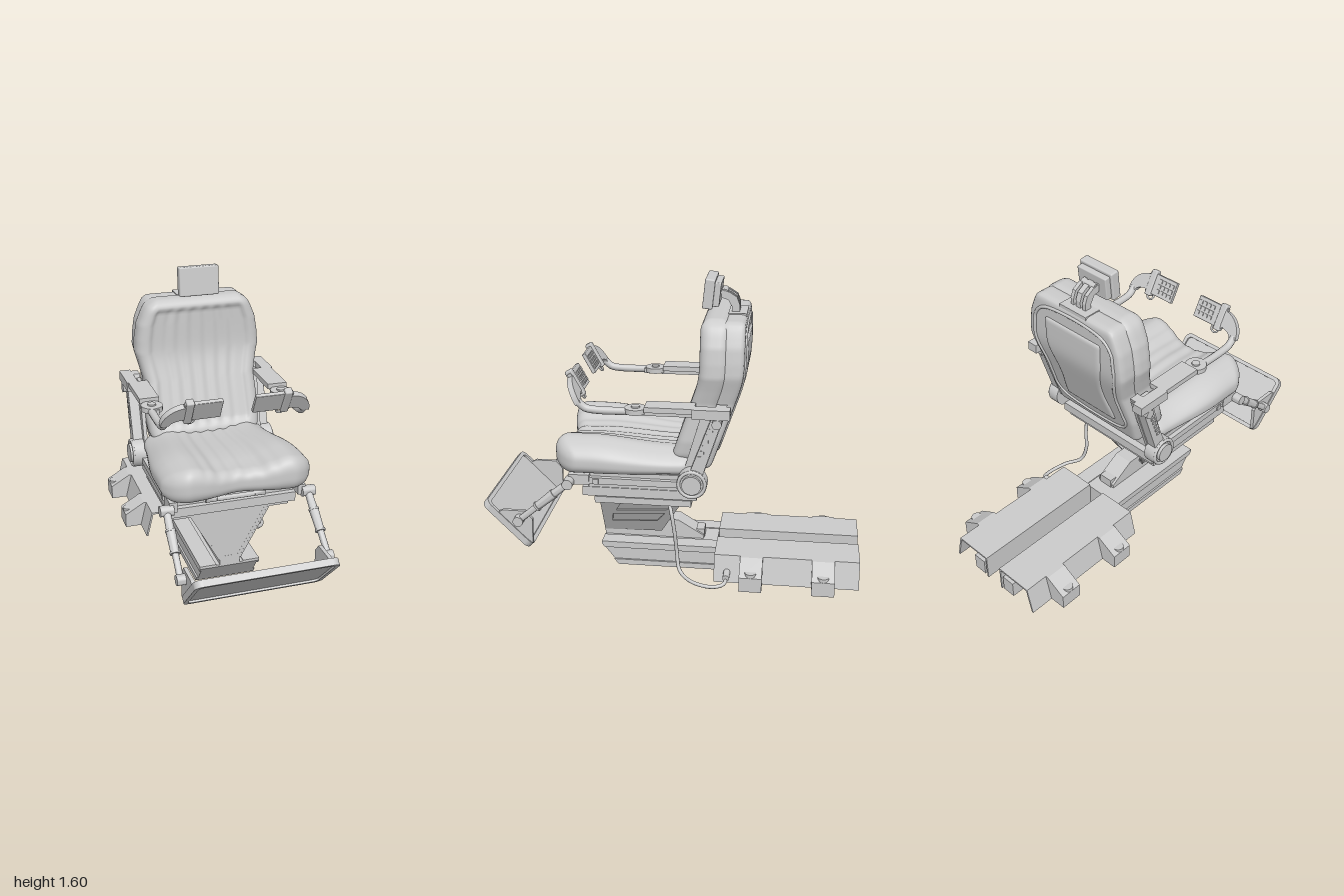
import * as THREE from 'three';
import { mergeVertices, toCreasedNormals } from 'three/addons/utils/BufferGeometryUtils.js';
import { RoundedBoxGeometry } from 'three/addons/geometries/RoundedBoxGeometry.js';

const mat = new THREE.MeshStandardMaterial({ color: 0xcccccc, side: THREE.DoubleSide });
const V = (x, y, z) => new THREE.Vector3(x, y, z);
const { smoothstep, clamp, lerp } = THREE.MathUtils;

export function createModel() {
  const root = new THREE.Group();
  const add = (name, geo, x = 0, y = 0, z = 0, parent = root) => {
    const m = new THREE.Mesh(geo, mat);
    m.name = name;
    m.position.set(x, y, z);
    parent.add(m);
    return m;
  };
  // box given by its limits on each axis
  const box = (name, x0, x1, y0, y1, z0, z1) =>
    add(name, new THREE.BoxGeometry(Math.abs(x1 - x0), y1 - y0, z1 - z0), (x0 + x1) / 2, (y0 + y1) / 2, (z0 + z1) / 2);
  const rod = (name, a, b, r1, r2 = r1) => {
    const d = b.clone().sub(a), c = a.clone().add(b).multiplyScalar(0.5);
    const m = add(name, toCreasedNormals(new THREE.CylinderGeometry(r2, r1, d.length(), 24), 0.6), c.x, c.y, c.z);
    m.quaternion.setFromUnitVectors(V(0, 1, 0), d.normalize());
  };
  const tube = (name, pts, r, closed = false) =>
    add(name, new THREE.TubeGeometry(new THREE.CatmullRomCurve3(pts, closed), closed ? 120 : 48, r, 10, closed));
  const poly = pts => new THREE.Shape(pts.map(p => new THREE.Vector2(...p)));
  const slab = (shape, depth) =>
    new THREE.ExtrudeGeometry(shape, { depth, bevelEnabled: false, curveSegments: 10 }).translate(0, 0, -depth / 2);
  // profile drawn as (z, y), extruded across x
  const sideSlab = (pts, depth, holes = []) => {
    const s = poly(pts);
    holes.forEach(h => s.holes.push(poly(h)));
    return slab(s, depth).rotateY(-Math.PI / 2);
  };
  // finely divided rounded block whose vertices are then moved by a rule
  const pad = (w, h, d, r, n, rule) => {
    const g = new THREE.BoxGeometry(w, h, d, ...n), p = g.attributes.position;
    const v = V(), c = V();
    const lim = V(w / 2 - r, h / 2 - r, d / 2 - r);
    for (let i = 0; i < p.count; i++) {
      v.fromBufferAttribute(p, i);
      c.copy(v).clamp(lim.clone().negate(), lim);
      v.sub(c).normalize().multiplyScalar(r).add(c);
      rule(v);
      p.setXYZ(i, v.x, v.y, v.z);
    }
    g.deleteAttribute('uv');
    g.deleteAttribute('normal');
    const out = mergeVertices(g);
    out.computeVertexNormals();
    return out;
  };
  const ribs = x => 0.004 * Math.cos(x * 2 * Math.PI / 0.075) * (1 - smoothstep(Math.abs(x), 0.17, 0.23));

  // floor base with a sloped nose; side rails and lugs are open underneath
  for (const s of [1, -1]) {
    box('innerRail', s * 0.075, s * 0.15, 0.01, 0.1, -1, -0.2);
    add('baseUpperFlange', sideSlab([[-0.3, 0.1], [0.385, 0.1], [0.4, 0.12], [0.4, 0.135], [-0.3, 0.135]], 0.09), s * 0.12);
    add('baseWeb', sideSlab([[-0.3, 0.03], [0.332, 0.03], [0.385, 0.1], [-0.3, 0.1]], 0.08), s * 0.115);
    add('baseLowerFlange', sideSlab([[-0.3, 0], [0.31, 0], [0.332, 0.03], [-0.3, 0.03]], 0.09), s * 0.12);
    const block = slab(poly([[0.05, 0], [0.06, 0], [0.06, 0.135], [0.257, 0.135], [0.29, 0], [0.3, 0], [0.265, 0.145], [0.05, 0.145]]), 0.77);
    add('sideRail', block.scale(s, 1, 1), 0, 0, -0.615);
    for (const z of [-0.81, -0.43]) {
      const cap = slab(poly([[0.26, 0.135], [0.28, 0.135], [0.38, 0.075], [0.38, 0], [0.39, 0], [0.39, 0.08], [0.28, 0.145], [0.26, 0.145]]), 0.12);
      add('mountingLug', cap.scale(s, 1, 1), 0, 0, z);
      for (const e of [-0.056, 0.056]) {
        const wall = slab(poly([[0.28, 0], [0.39, 0], [0.39, 0.08], [0.28, 0.145], [0.26, 0.145]]), 0.008);
        add('lugWall', wall.scale(s, 1, 1), 0, 0, z + e);
      }
      rod('lugBolt', V(s * 0.36, 0.02, z), V(s * 0.36, 0.1, z), 0.03);
    }
  }
  add('baseCenter', sideSlab([[-0.23, 0], [0.31, 0], [0.4, 0.12], [0.4, 0.13], [-0.23, 0.13]], 0.16));
  add('pedestalFoot', sideSlab([[0.4, 0.13], [0.4, 0.18], [0.05, 0.235], [-0.01, 0.235], [-0.15, 0.15], [-0.15, 0.13]], 0.11));
  box('footLatch', -0.04, 0.04, 0.13, 0.18, -0.155, -0.11);

  // tapered pedestal: leaning side frames with recessed panels, and a front plate
  const halfW = y => lerp(0.055, 0.21, clamp((y - 0.16) / 0.28, 0, 1));
  const outline = [[0.4, 0.16], [0.08, 0.17], [-0.065, 0.44], [0.4, 0.44]];
  const windows = [[[0.35, 0.23], [0.1, 0.25], [0.05, 0.315], [0.34, 0.29]], [[0.32, 0.32], [0.03, 0.345], [0.0, 0.425], [0.26, 0.425]]];
  for (const s of [1, -1]) for (const [name, inset, holes] of [['pedestalSide', 0, windows], ['pedestalPanel', 0.018, []]]) {
    const g = sideSlab(outline, 0.012, holes);
    const p = g.attributes.position;
    for (let i = 0; i < p.count; i++) p.setX(i, p.getX(i) + s * (halfW(p.getY(i)) - inset));
    g.computeVertexNormals();
    add(name, g);
  }
  add('pedestalFront', slab(poly([[-0.055, 0.16], [0.055, 0.16], [0.21, 0.44], [-0.21, 0.44]]), 0.015), 0, 0, 0.392);

  // suspension layers beneath the cushion
  box('suspensionBase', -0.32, 0.32, 0.44, 0.475, -0.11, 0.4);
  box('suspensionCore', -0.29, 0.29, 0.47, 0.55, -0.1, 0.38);
  box('suspensionTray', -0.335, 0.335, 0.485, 0.535, -0.14, 0.46);
  box('seatFrame', -0.33, 0.33, 0.535, 0.62, -0.1, 0.43);
  for (const s of [1, -1]) {
    box('slideRail', s * 0.3, s * 0.355, 0.56, 0.595, -0.1, 0.46);
    box('railStop', s * 0.35, s * 0.362, 0.562, 0.59, 0.37, 0.4);
    rod('handleEnd', V(s * 0.155, 0.578, 0.47), V(s * 0.1, 0.572, 0.48), 0.024, 0.013);
    rod('handleArm', V(s * 0.14, 0.578, 0.4), V(s * 0.14, 0.575, 0.48), 0.014);
  }
  rod('slideHandle', V(-0.1, 0.572, 0.48), V(0.1, 0.572, 0.48), 0.013);

  // seat cushion, dished and ribbed, with rounded shoulders
  add('seatCushion', pad(0.77, 0.15, 0.72, 0.06, [70, 12, 44], v => {
    const t = clamp((v.y + 0.075) / 0.15, 0, 1), ax = Math.abs(v.x), f = smoothstep(v.z, 0.1, 0.36);
    const rise = -0.02 + 0.05 * smoothstep(v.z, -0.28, 0.18);
    const dip = lerp(0.02, 0.055, smoothstep(v.z, -0.3, 0.3)) * (1 - smoothstep(ax, 0.06, 0.26));
    const shoulder = 0.045 * smoothstep(ax, 0.25, 0.4);
    v.y += t * (rise - dip - shoulder) + t * t * ribs(v.x);
    v.z -= f * (0.05 * Math.exp(-((v.x / 0.15) ** 2)) + 0.1 * smoothstep(ax, 0.26, 0.44));
    v.x *= (0.87 + 0.14 * smoothstep(v.z, -0.36, 0.1)) * (1 + 0.012 * Math.sin(t * Math.PI));
  }), 0, 0.69, 0.25);

  // backrest: upright above, leaning below the bend
  const bend = y => 0.34 * 0.03 * Math.log(1 + Math.exp((1.13 - y) / 0.03));
  const table = [[0.6, 0.29], [0.8, 0.315], [1.0, 0.307], [1.08, 0.325], [1.15, 0.343], [1.22, 0.338], [1.3, 0.325], [1.36, 0.3], [1.4, 0.28], [1.45, 0.24]];
  const backW = y => {
    const i = clamp(table.findIndex(p => p[0] > y), 1, table.length - 1), [a, b] = [table[i - 1], table[i]];
    return lerp(a[1], b[1], clamp((y - a[0]) / (b[0] - a[0]), 0, 1));
  };
  add('backCushion', pad(0.68, 0.75, 0.15, 0.055, [64, 64, 10], v => {
    const y = v.y + 1.055, front = smoothstep(v.z, 0.03, 0.075);
    const inside = (1 - smoothstep(Math.abs(v.x), 0.255, 0.28)) * smoothstep(y, 0.74, 0.78) * (1 - smoothstep(y, 1.36, 1.39));
    v.z += front * inside * (ribs(v.x) - 0.014) + bend(y);
    v.x *= backW(y) / 0.34;
  }), 0, 1.055, -0.22);
  add('backShell', pad(0.68, 0.78, 0.12, 0.03, [40, 50, 6], v => {
    v.z += bend(v.y + 1.03);
    v.x *= 0.96 * backW(v.y + 1.03) / 0.34;
  }), 0, 1.03, -0.31);
  add('backPanel', pad(0.36, 0.54, 0.03, 0.013, [24, 44, 4], v => {
    const y = v.y + 1.04;
    v.z += bend(y);
    v.x *= 0.85 + 0.2 * smoothstep(y, 0.98, 1.2) + 0.1 * (1 - smoothstep(y, 0.8, 0.95));
  }), 0, 1.04, -0.367);
  const rim = [];
  for (const s of [1, -1]) for (let i = 0; i <= 10; i++) {
    const y = s > 0 ? lerp(0.73, 1.36, i / 10) : lerp(1.36, 0.73, i / 10);
    rim.push(V(s * (backW(y) * 0.96 - (i % 10 ? 0.05 : 0.09)), y, -0.37 + bend(y)));
  }
  tube('backPiping', rim, 0.009, true);

  // headrest on a curved bracket
  const head = add('headrestPad', new RoundedBoxGeometry(0.215, 0.155, 0.052, 3, 0.008), 0, 1.523, -0.17);
  const headBack = add('headrestShell', new RoundedBoxGeometry(0.19, 0.125, 0.035, 2, 0.006), 0, 1.518, -0.21);
  head.rotation.x = headBack.rotation.x = -0.1;
  rod('headrestPivot', V(-0.045, 1.52, -0.245), V(0.045, 1.52, -0.245), 0.018);
  const strap = [[-0.23, 1.535], [-0.27, 1.525], [-0.31, 1.5], [-0.325, 1.46], [-0.325, 1.36], [-0.29, 1.36], [-0.285, 1.45], [-0.265, 1.485], [-0.23, 1.495]];
  for (const s of [1, -1]) add('headrestStrap', sideSlab(strap, 0.02), s * 0.04);
  add('headrestStem', sideSlab(strap, 0.03));
  box('headrestMount', -0.09, 0.09, 1.37, 1.425, -0.365, -0.27);

  for (const s of [1, -1]) {
    // side bracket following the lean of the back, with its hub
    add('armBracket', sideSlab([[-0.29, 0.99], [-0.17, 0.99], [-0.075, 0.66], [-0.17, 0.62]], 0.02), s * 0.325);
    add('armBracketRail', sideSlab([[-0.29, 1.01], [-0.235, 1.01], [-0.1, 0.64], [-0.165, 0.62]], 0.075), s * 0.35);
    for (let i = 0; i < 6; i++) box('railNotch', s * 0.385, s * 0.392, 0.74 + i * 0.03, 0.755 + i * 0.03, -0.17 - i * 0.011, -0.15 - i * 0.011);
    rod('armPivot', V(s * 0.36, 0.935, -0.245), V(s * 0.41, 0.935, -0.245), 0.025);
    rod('reclineHub', V(s * 0.33, 0.6, -0.12), V(s * 0.395, 0.6, -0.12), 0.078);
    rod('reclineCap', V(s * 0.39, 0.6, -0.12), V(s * 0.412, 0.6, -0.12), 0.05);
    const ring = add('hubRing', new THREE.TorusGeometry(0.068, 0.009, 8, 32), s * 0.395, 0.6, -0.12);
    ring.rotation.y = Math.PI / 2;

    // armrest
    box('armHinge', s * 0.35, s * 0.41, 0.96, 1.01, -0.31, -0.12);
    box('armPad', s * 0.298, s * 0.402, 0.982, 1.01, -0.13, 0.12);
    box('armPlate', s * 0.325, s * 0.375, 0.957, 0.985, -0.2, 0.23);
    rod('armDisc', V(s * 0.35, 0.965, 0.17), V(s * 0.35, 0.992, 0.17), 0.056);
    rod('armDiscKnob', V(s * 0.35, 0.985, 0.17), V(s * 0.35, 1.0, 0.17), 0.022);
    tube('armTube', [V(s * 0.362, 0.973, 0.2), V(s * 0.362, 0.973, 0.37), V(s * 0.362, 0.982, 0.425), V(s * 0.362, 1.015, 0.465)], 0.02);
    const control = new THREE.Group();
    control.name = 'handControl';
    control.position.set(s * 0.18, 1.075, 0.497);
    control.rotation.x = 0.5;
    root.add(control);
    // flat arm curving inward to the control
    const band = new THREE.Shape();
    band.moveTo(0.06, 0.045);
    band.absellipse(0.08, -0.08, 0.125, 0.125, Math.PI / 2, 0, true);
    band.absellipse(0.08, -0.08, 0.08, 0.035, 0, Math.PI / 2, false);
    band.lineTo(0.06, -0.045);
    add('controlArm', slab(band, 0.03).scale(s, 1, 1), 0, 0, 0, control);
    add('controlPlate', new RoundedBoxGeometry(0.195, 0.12, 0.022, 2, 0.004), 0, 0, 0, control);
    add('controlClamp', new RoundedBoxGeometry(0.04, 0.15, 0.04, 2, 0.008), s * 0.07, 0, 0, control);
    add('controlTrigger', new THREE.TorusGeometry(0.022, 0.006, 8, 20), s * 0.055, -0.07, 0, control);
    for (let i = 0; i < 12; i++)
      add('controlKey', new THREE.BoxGeometry(0.02, 0.02, 0.008), s * (-0.075 + (i % 4) * 0.028), -0.03 + Math.floor(i / 4) * 0.03, -0.013, control);

    // telescopic footrest leg
    const a = V(s * 0.375, 0.57, 0.525), b = V(s * 0.382, 0.34, 0.8);
    const at = t => a.clone().lerp(b, t);
    rod('legPivot', V(s * 0.34, 0.57, 0.525), V(s * 0.41, 0.57, 0.525), 0.028);
    box('legMount', s * 0.32, s * 0.36, 0.555, 0.61, 0.42, 0.53);
    rod('legUpper', at(0), at(0.35), 0.019, 0.022);
    rod('legSleeve', at(0.3), at(0.62), 0.025, 0.022);
    rod('legLower', at(0.6), at(1), 0.017);
    for (const t of [0.3, 0.62]) rod('legCollar', at(t - 0.015), at(t + 0.015), 0.027);
    rod('footPivot', V(s * 0.34, 0.34, 0.8), V(s * 0.405, 0.34, 0.8), 0.027);
    add('footGusset', sideSlab([[0.92, 0.37], [0.89, 0.385], [0.77, 0.385], [0.732, 0.34], [0.735, 0.2], [0.76, 0.22]], 0.02), s * 0.35);
  }

  // tilted footrest with a raised rim
  const foot = new THREE.Group();
  foot.name = 'footrest';
  foot.position.set(0, 0.301, 0.867);
  foot.rotation.x = 0.78;
  root.add(foot);
  const round = (w, h, r, S = THREE.Shape) => {
    const s = new S();
    [[w - r, r - h, -1], [w - r, h - r, 0], [r - w, h - r, 1], [r - w, r - h, 2]].forEach(([x, y, q]) =>
      s.absarc(x, y, r, q * Math.PI / 2, (q + 1) * Math.PI / 2, false));
    return s;
  };
  const rimShape = round(0.365, 0.172, 0.04);
  rimShape.holes.push(round(0.343, 0.15, 0.025, THREE.Path));
  add('footrestRim', slab(rimShape, 0.036), 0, 0, 0, foot);
  add('footrestPlate', slab(round(0.35, 0.155, 0.03), 0.014), 0, 0, 0, foot);

  // power cable and its plug
  tube('cable', [V(0.22, 0.42, 0.02), V(0.28, 0.39, 0), V(0.29, 0.27, -0.02), V(0.28, 0.16, -0.03), V(0.31, 0.06, -0.05), V(0.37, 0.03, -0.12),
    V(0.395, 0.02, -0.23), V(0.375, 0.03, -0.29), V(0.28, 0.055, -0.3)], 0.01);
  rod('cablePlug', V(0.27, 0.055, -0.3), V(0.35, 0.05, -0.3), 0.018);
  return root;
}
